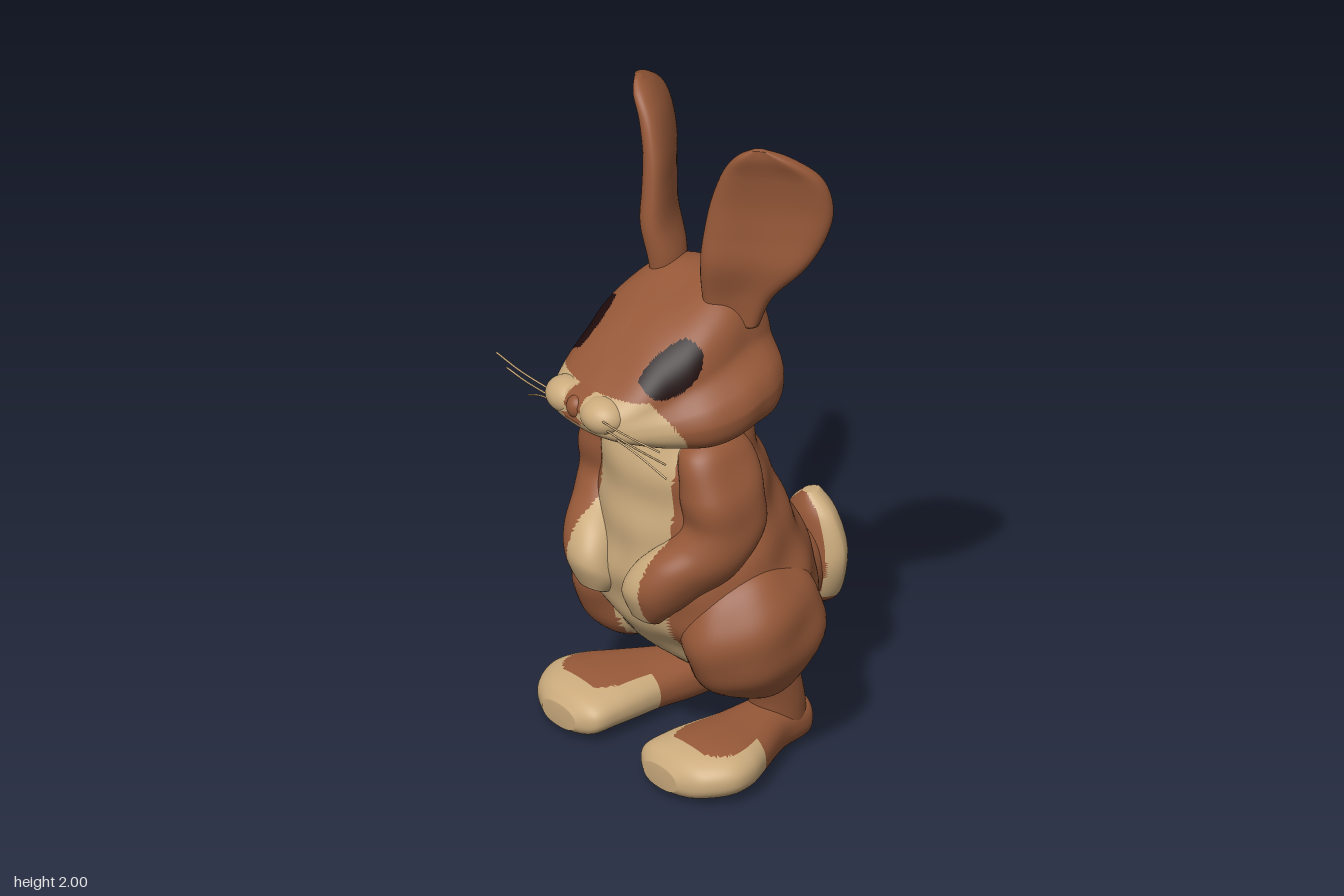
import * as THREE from 'three';

const mat = (name, color) => {
  const m = new THREE.MeshStandardMaterial({ color });
  m.name = name;
  return m;
};
const spow = (v, e) => Math.sign(v) * Math.pow(Math.abs(v), e);

// Catmull-Rom blend of numeric key rows
function blend(keys, t) {
  const s = t * (keys.length - 1), i = Math.min(Math.floor(s), keys.length - 2), f = s - i;
  const at = (k) => keys[Math.max(0, Math.min(keys.length - 1, k))];
  return keys[0].map((_, c) => {
    const a = at(i - 1)[c], b = at(i)[c], d = at(i + 1)[c], e = at(i + 2)[c];
    return b + 0.5 * f * (d - a + f * (2 * a - 5 * b + 4 * d - e + f * (3 * (b - d) + e - a)));
  });
}

// Closed skin through cross-sections
function loft(keys, section, nu = 48, nv = 40) {
  const pos = [], idx = [];
  for (let j = 0; j <= nv; j++) {
    const key = blend(keys, j / nv);
    for (let i = 0; i < nu; i++) pos.push(...section(key, (i / nu) * Math.PI * 2));
  }
  for (const j of [0, nv]) {
    const c = [0, 0, 0];
    for (let i = 0; i < nu; i++) for (let k = 0; k < 3; k++) c[k] += pos[(j * nu + i) * 3 + k] / nu;
    pos.push(...c);
  }
  const end = (nv + 1) * nu;
  for (let i = 0; i < nu; i++) {
    const n = (i + 1) % nu;
    for (let j = 0; j < nv; j++) {
      const a = j * nu + i, b = j * nu + n, c = a + nu, d = b + nu;
      idx.push(a, c, b, b, c, d);
    }
    idx.push(end, i, n, end + 1, nv * nu + n, nv * nu + i);
  }
  const g = new THREE.BufferGeometry();
  g.setAttribute('position', new THREE.Float32BufferAttribute(pos, 3));
  g.setIndex(idx);
  return g;
}

// Oval section: key = x, y, z, half width, half depth, tilt about x; exponents for front and back
const oval = (front = 1, back = front) => ([x, y, z, rx, rd, t], a) => {
  const e = Math.sin(a) > 0 ? front : back, d = rd * spow(Math.sin(a), e);
  return [x + rx * spow(Math.cos(a), e), y + d * Math.sin(t), z + d * Math.cos(t)];
};

function ellipsoid(x, y, z, rx, ry, rz) {
  return new THREE.SphereGeometry(1, 56, 40).scale(rx, ry, rz).translate(x, y, z);
}

// Slight fur lumps
function lumps(g, amp) {
  const p = g.attributes.position;
  g.computeVertexNormals();
  const n = g.attributes.normal.clone();
  for (let i = 0; i < p.count; i++) {
    const x = Math.abs(p.getX(i)), y = p.getY(i), z = p.getZ(i);
    const d = amp * (Math.sin(23 * x + 9 * y + 4) * Math.sin(25 * z + 6 * y) + 0.6 * Math.sin(38 * y + 14 * z));
    p.setXYZ(i, p.getX(i) + n.getX(i) * d, y + n.getY(i) * d, p.getZ(i) + n.getZ(i) * d);
  }
  return g;
}

// Orient outward, then sort triangles into colour groups by their centres
function finish(g, rule, mats, name) {
  const p = g.attributes.position, ix = Array.from(g.index.array);
  const A = new THREE.Vector3(), B = new THREE.Vector3(), C = new THREE.Vector3();
  const bins = mats.map(() => []);
  let vol = 0;
  for (let i = 0; i < ix.length; i += 3) {
    A.fromBufferAttribute(p, ix[i]);
    B.fromBufferAttribute(p, ix[i + 1]);
    C.fromBufferAttribute(p, ix[i + 2]);
    vol += A.dot(B.clone().cross(C));
    A.add(B).add(C).divideScalar(3);
    bins[rule(Math.abs(A.x), A.y, A.z)].push(ix[i], ix[i + 1], ix[i + 2]);
  }
  if (vol < 0) for (const b of bins) b.reverse();
  g.setIndex(bins.flat());
  let start = 0;
  bins.forEach((b, m) => {
    if (b.length) g.addGroup(start, b.length, m);
    start += b.length;
  });
  g.computeVertexNormals();
  const mesh = new THREE.Mesh(g, mats);
  mesh.name = name;
  return mesh;
}

export function createModel() {
  const model = new THREE.Group();
  model.name = 'rabbit';
  const mats = [mat('brownFur', 0x965838), mat('creamFur', 0xcbab7d), mat('darkEye', 0x200c0c)];
  const add = (name, g, rule = () => 0) => model.add(finish(g, rule, mats, name));
  const pair = (name, make, rule) => {
    add('left' + name, make(), rule);
    add('right' + name, make().scale(-1, 1, 1), rule);
  };

  // Colour rules
  const belly = (x, y, z) => (x < 0.165 && z > 0.03 && y > 0.26 ? 1 : 0);
  const face = (x, y, z) => {
    const dz = z - 0.255, dy = y - 1.325;
    const side = Math.hypot((dy * 0.62 - dz * 0.78) / 0.1, (dz * 0.62 + dy * 0.78) / 0.057);
    if (side < 1 && Math.hypot((x - 0.192) / 0.064, dy / 0.082) < 1) return 2;
    const muzzle = y < 1.245 && z > 0.335 - (1.24 - y) * 0.6;
    return muzzle && !(x < 0.035 && y > 1.15) ? 1 : 0;
  };

  // Torso: y, half width, front z, back z
  const torso = [
    [0.24, 0.13, 0.05, -0.13], [0.27, 0.2, 0.1, -0.19], [0.35, 0.29, 0.19, -0.265],
    [0.45, 0.34, 0.26, -0.305], [0.55, 0.34, 0.29, -0.31], [0.65, 0.31, 0.29, -0.28],
    [0.8, 0.265, 0.28, -0.205], [0.95, 0.235, 0.27, -0.135], [1.05, 0.21, 0.24, -0.11],
    [1.1, 0.21, 0.21, -0.12], [1.2, 0.15, 0.15, -0.07],
  ].map(([y, w, f, b]) => [0, y, (f + b) / 2, w, (f - b) / 2, 0]);
  add('body', lumps(loft(torso, oval(0.82, 1), 96, 96), 0.006), belly);

  // Hind legs
  pair('Thigh', () => lumps(ellipsoid(0.25, 0.445, 0.015, 0.171, 0.215, 0.225), 0.006), belly);
  pair('LowerLeg', () => loft([
    [0.2, 0.34, -0.03, 0.1, 0.12, 0], [0.2, 0.25, -0.08, 0.09, 0.1, 0.25],
    [0.195, 0.17, -0.11, 0.087, 0.085, 0.2], [0.19, 0.08, -0.125, 0.08, 0.08, 0],
  ], oval()));
  pair('Foot', () => loft([
    [0.19, 0.08, -0.212, 0.03, 0.03, 0], [0.19, 0.08, -0.19, 0.07, 0.065, 0],
    [0.2, 0.078, -0.08, 0.09, 0.072, 0], [0.24, 0.077, 0.05, 0.13, 0.073, 0],
    [0.262, 0.077, 0.14, 0.16, 0.075, 0], [0.265, 0.075, 0.22, 0.167, 0.072, 0],
    [0.243, 0.067, 0.3, 0.14, 0.06, 0], [0.235, 0.057, 0.34, 0.075, 0.035, 0],
  ].map((k) => [...k.slice(0, 5), Math.PI / 2]), oval(0.85), 64, 64),
  (x, y, z) => (z > 0.07 && (y < 0.137 || z > 0.25) ? 1 : 0));

  // Arms folded to the belly
  pair('Arm', () => lumps(loft([
    [0.18, 1.08, 0.11, 0.035, 0.05, 0], [0.197, 1.03, 0.11, 0.075, 0.115, 0],
    [0.23, 0.92, 0.115, 0.095, 0.13, 0], [0.242, 0.81, 0.11, 0.1, 0.125, 0.1],
    [0.218, 0.71, 0.17, 0.105, 0.11, 0.5], [0.165, 0.635, 0.255, 0.1, 0.1, 0.7],
    [0.13, 0.57, 0.3, 0.083, 0.078, 0.5], [0.12, 0.51, 0.3, 0.045, 0.04, 0.3],
  ], oval(0.9), 56, 72), 0.004), (x, y, z) => (x < 0.165 ? 1 : 0));

  // Tail
  add('tailBase', ellipsoid(0, 0.43, -0.3, 0.105, 0.145, 0.12));
  add('tail', loft([
    [0, 0.29, -0.42, 0.03, 0.035, 0], [0, 0.33, -0.415, 0.08, 0.07, 0],
    [0, 0.42, -0.41, 0.118, 0.08, 0], [0, 0.5, -0.41, 0.12, 0.075, 0],
    [0, 0.59, -0.4, 0.085, 0.058, 0], [0, 0.65, -0.39, 0.02, 0.028, 0],
  ], oval(1, 1.3), 48, 60), (x, y, z) => (z < -0.365 && y > 0.33 ? 1 : 0));

  // Head: z, half width, top, bottom, brow taper; full cheeks below a narrower brow
  const headSection = ([z, w, top, bottom, taper], a) => {
    const s = spow(Math.sin(a), 0.65), mid = bottom + 0.33 * (top - bottom);
    const x = w * spow(Math.cos(a), 0.65) * (1 - taper * THREE.MathUtils.smoothstep(s, 0, 0.45));
    return [x, mid + s * (s > 0 ? top - mid : mid - bottom), z];
  };
  add('head', lumps(loft([
    [-0.135, 0.1, 1.38, 1.2, 0.2], [-0.115, 0.22, 1.44, 1.14, 0.26], [-0.05, 0.29, 1.495, 1.09, 0.26],
    [0.03, 0.317, 1.5, 1.07, 0.26], [0.11, 0.328, 1.465, 1.06, 0.25], [0.2, 0.312, 1.415, 1.06, 0.22],
    [0.28, 0.266, 1.355, 1.07, 0.17], [0.35, 0.214, 1.298, 1.09, 0.08], [0.41, 0.172, 1.25, 1.11, 0.03],
    [0.455, 0.125, 1.232, 1.135, 0], [0.475, 0.06, 1.205, 1.16, 0],
  ], headSection, 160, 136), 0.003), face);
  pair('MuzzlePuff', () => ellipsoid(0.08, 1.19, 0.422, 0.074, 0.054, 0.064), face);
  add('nose', ellipsoid(0, 1.195, 0.455, 0.032, 0.035, 0.03));

  // Ears: y, centre x, centre z, half breadth, half thickness; turned outward, hollow in front
  const earSection = ([y, x, z, a, b], u) => {
    const c = a * Math.cos(u), s = Math.sin(u);
    const n = b * s * (s > 0 ? 0.5 + 0.7 * Math.cos(u) ** 2 : 1);
    return [x + 0.745 * c + 0.667 * n, y, z - 0.667 * c + 0.745 * n];
  };
  pair('Ear', () => loft([
    [1.39, 0.16, 0.015, 0.075, 0.05], [1.49, 0.173, 0.008, 0.105, 0.067], [1.6, 0.226, -0.005, 0.153, 0.064],
    [1.7, 0.252, -0.028, 0.176, 0.058], [1.8, 0.268, -0.042, 0.177, 0.055], [1.9, 0.282, -0.033, 0.145, 0.05],
    [1.965, 0.286, -0.003, 0.085, 0.038], [2.0, 0.285, 0.018, 0.02, 0.012],
  ], earSection, 48, 60));

  // Whiskers
  const whiskers = [
    [[0.09, 1.2, 0.46], [0.24, 1.208, 0.468], [0.38, 1.205, 0.45]],
    [[0.1, 1.175, 0.455], [0.25, 1.165, 0.445], [0.37, 1.15, 0.42]],
    [[0.1, 1.15, 0.435], [0.22, 1.12, 0.412], [0.32, 1.07, 0.38]],
  ];
  for (const w of whiskers) {
    const curve = new THREE.CatmullRomCurve3(w.map((p) => new THREE.Vector3(...p)));
    pair('Whisker', () => new THREE.TubeGeometry(curve, 16, 0.003, 6), () => 1);
  }
  return model;
}
